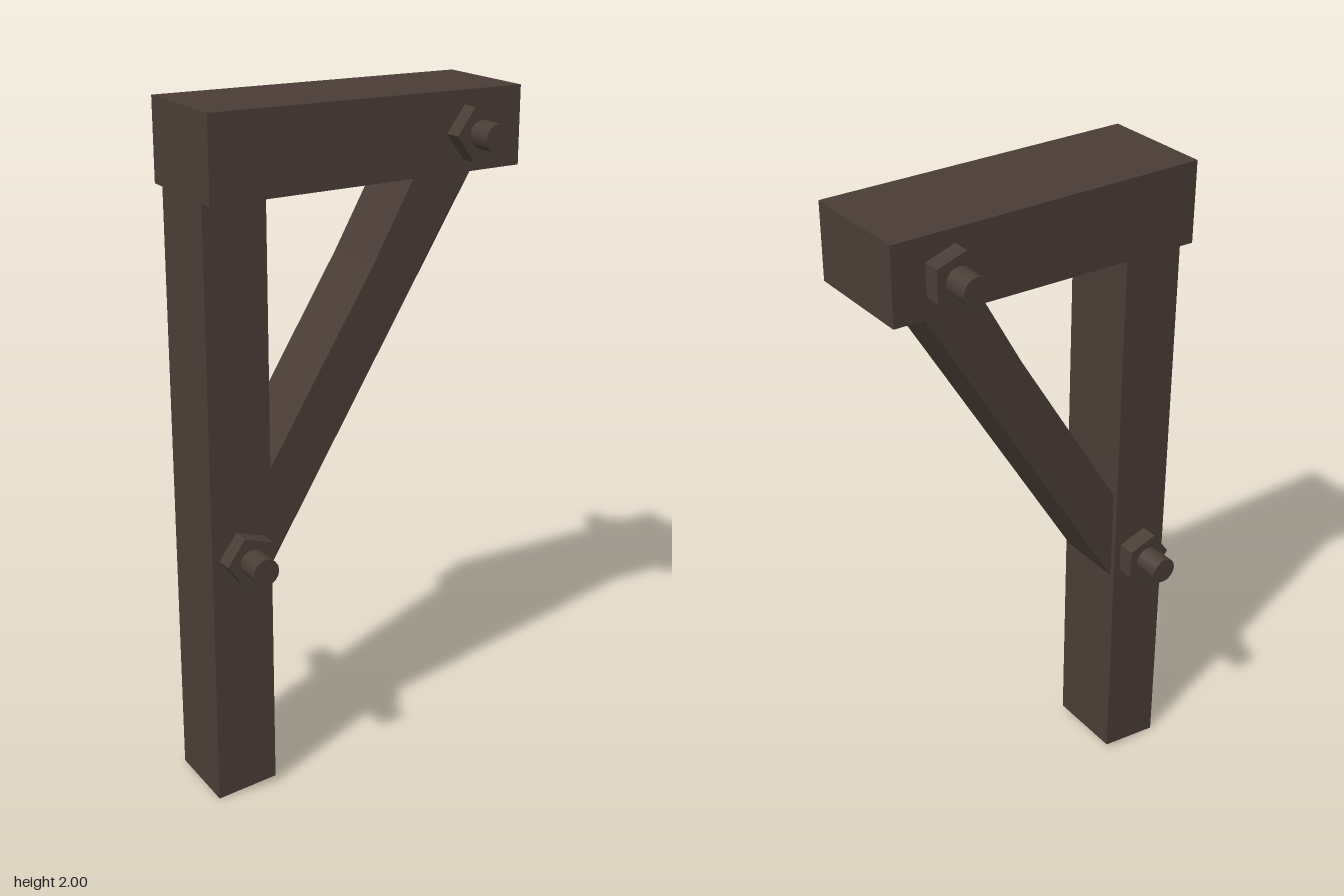
import * as THREE from 'three';

export function createModel() {
  const model = new THREE.Group();
  model.name = 'timberBracket';
  const wood = new THREE.MeshStandardMaterial({ color: 0x4a3d36 });
  wood.name = 'darkBrown';

  // Timber cut from a side outline, centred on z = 0
  function timber(name, points, depth) {
    const shape = new THREE.Shape(points.map(([x, y]) => new THREE.Vector2(x, y)));
    const geometry = new THREE.ExtrudeGeometry(shape, { depth, bevelEnabled: false });
    geometry.translate(0, 0, -depth / 2);
    const mesh = new THREE.Mesh(geometry, wood);
    mesh.name = name;
    model.add(mesh);
  }

  // Post with a slanted foot
  timber('post', [[-0.475, 0], [-0.29, 0.02], [-0.29, 1.775], [-0.475, 1.775]], 0.24);
  // Top beam with a slightly tapered underside
  timber('topBeam', [[-0.475, 1.765], [0.475, 1.78], [0.475, 2], [-0.475, 2]], 0.338);
  // Diagonal brace with a slight bend along its upper edge
  timber('brace', [[-0.295, 0.685], [0.37, 1.782], [0.186, 1.782], [0.045, 1.53], [-0.295, 0.975]], 0.208);

  // Through bolt: a smooth rod with a five-sided nut on each face
  function bolt(name, x, y, face, end) {
    const group = new THREE.Group();
    group.name = name;
    group.position.set(x, y, 0);
    const rod = new THREE.Mesh(new THREE.CylinderGeometry(0.039, 0.039, end * 2, 16).rotateX(Math.PI / 2), wood);
    rod.name = 'rod';
    group.add(rod);
    for (const side of [-1, 1]) {
      // Nut corner points towards -x
      const nutShape = new THREE.Shape();
      for (let i = 0; i < 5; i++) {
        const a = Math.PI + (i * Math.PI * 2) / 5;
        nutShape[i ? 'lineTo' : 'moveTo'](0.078 * Math.cos(a), 0.078 * Math.sin(a));
      }
      nutShape.closePath();
      const depth = 0.063;
      const geometry = new THREE.ExtrudeGeometry(nutShape, { depth, bevelEnabled: false });
      geometry.translate(0, 0, -depth / 2);
      const nut = new THREE.Mesh(geometry, wood);
      nut.name = side > 0 ? 'frontNut' : 'backNut';
      nut.position.z = side * (face + 0.052 - depth / 2);
      group.add(nut);
    }
    model.add(group);
  }
  bolt('lowerBolt', -0.375, 0.76, 0.12, 0.251);
  bolt('upperBolt', 0.315, 1.886, 0.169, 0.298);

  return model;
}
